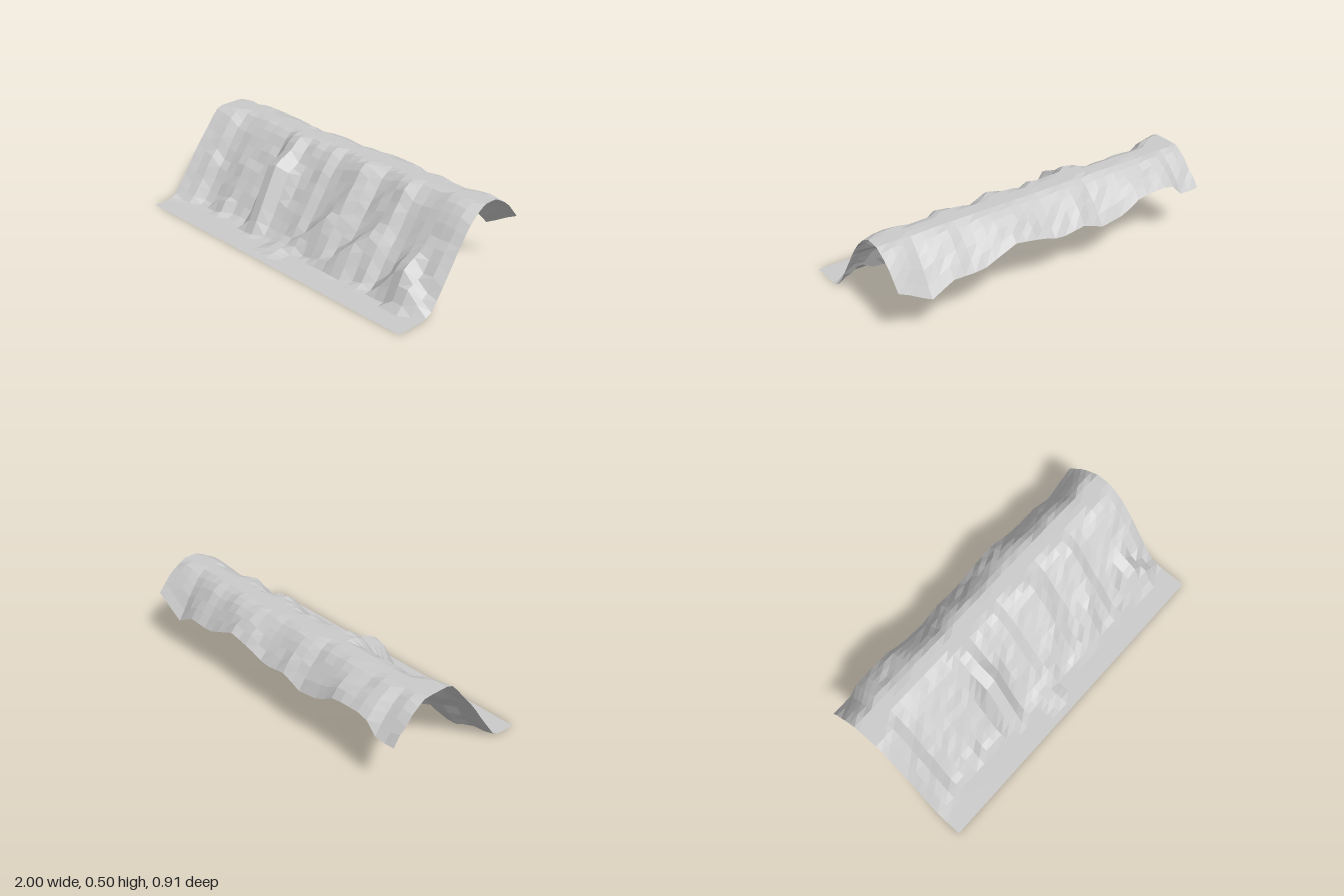
import * as THREE from 'three';

const COLS = 31, ROWS = 23, WIDTH = 2, DEPTH = 0.914, TOP = 0.5;

// Linear interpolation through [position, value] pairs with rising positions
function lookup(points, p) {
  if (p <= points[0][0]) return points[0][1];
  for (let i = 1; i < points.length; i++) {
    const [p0, v0] = points[i - 1], [p1, v1] = points[i];
    if (p <= p1) return v0 + (v1 - v0) * (p - p0) / (p1 - p0);
  }
  return points[points.length - 1][1];
}

// Front slope: [z, height]
const slope = [[-0.18, 0.5], [-0.14, 0.475], [-0.1, 0.44], [-0.06, 0.395], [0, 0.315], [0.06, 0.235],
  [0.1, 0.175], [0.14, 0.12], [0.18, 0.06], [0.22, 0.012], [0.255, 0]];

// How far each column of the slope is pushed forward
const push = [0.085, 0.065, 0.05, 0.01, 0.005, 0.01, 0.015, 0.01, 0.01, 0.005, 0.05, 0.06, 0.025, 0.03, 0.025, 0.035,
  0.012, 0.02, 0.04, 0.055, 0.028, 0.005, 0.02, 0.035, 0.05, 0.015, 0.012, 0.02, 0.03, 0.03, 0.03, 0.012];

// Ragged lower edge of the back: [x, height]
const backEdge = [[-1, 0.3], [-0.88, 0.29], [-0.8, 0.37], [-0.73, 0.38], [-0.56, 0.37], [-0.45, 0.3],
  [-0.29, 0.275], [-0.17, 0.325], [0, 0.3], [0.12, 0.34], [0.29, 0.37], [0.5, 0.285], [0.68, 0.29],
  [0.81, 0.22], [0.94, 0.3], [1, 0.33]];

// Rock outcrops with a steep face and a ledge: column: [foot z, ledge height]
const outcrops = {
  0: [0.31, 0.04], 5: [0.26, 0.06], 6: [0.27, 0.08],
  10: [0.29, 0.36], 11: [0.3, 0.39], 12: [0.24, 0.34],
  14: [0.38, 0.01], 15: [0.4, 0.01], 16: [0.28, 0.08], 17: [0.26, 0.17], 18: [0.26, 0.23],
  20: [0.3, 0.05], 21: [0.3, 0.12], 22: [0.29, 0.18], 23: [0.26, 0.25],
  26: [0.29, 0.08], 27: [0.3, 0.18], 28: [0.32, 0.2], 29: [0.32, 0.12], 30: [0.29, 0.06],
};

// Small repeatable unevenness, -1 to 1
function rough(i, j) {
  const s = Math.sin(i * 127.1 + j * 311.7) * 43758.5453;
  return (s - Math.floor(s)) * 2 - 1;
}

function heightAt(i, j, x, z) {
  // Rounded back, its crest wavering in depth
  if (z < -0.23) {
    const crest = 0.26 + 0.022 * rough(i, 50);
    const t = Math.max(0, (-crest - z) / (DEPTH / 2 - crest));
    const bump = j > 0 ? rough(i, j) * 0.016 * t : 0;
    return Math.min(TOP, TOP - (TOP - lookup(backEdge, x)) * Math.pow(t, 1.4) + bump);
  }
  // Cliff face, pushed columns leaning further out near the crest
  const lean = 1 + 0.4 * THREE.MathUtils.clamp(-z / 0.1, 0, 1);
  let y = lookup(slope, z - push[i] * lean - rough(i, j) * 0.008);
  if (outcrops[i]) {
    const [foot, ledge] = outcrops[i];
    const rim = foot - ledge / 1.9, rise = Math.min(0.45, 0.1 + 2 * ledge);
    y = Math.max(y, Math.min(1.9 * (foot - z), ledge + rise * (rim - z)));
  }
  return THREE.MathUtils.clamp(y, 0, TOP);
}

export function createModel() {
  const group = new THREE.Group();
  group.name = 'cliff';

  // One grid sheet: floor, cliff face, crest and back
  const geometry = new THREE.PlaneGeometry(WIDTH, DEPTH, COLS, ROWS);
  geometry.rotateX(-Math.PI / 2);
  const pos = geometry.attributes.position;
  for (let k = 0; k < pos.count; k++) {
    const i = k % (COLS + 1), j = Math.floor(k / (COLS + 1));
    pos.setY(k, heightAt(i, j, pos.getX(k), pos.getZ(k)));
  }
  geometry.computeVertexNormals();

  const material = new THREE.MeshStandardMaterial({ color: 0xcccccc, flatShading: true, side: THREE.DoubleSide });
  const sheet = new THREE.Mesh(geometry, material);
  sheet.name = 'rockSurface';
  group.add(sheet);
  return group;
}
